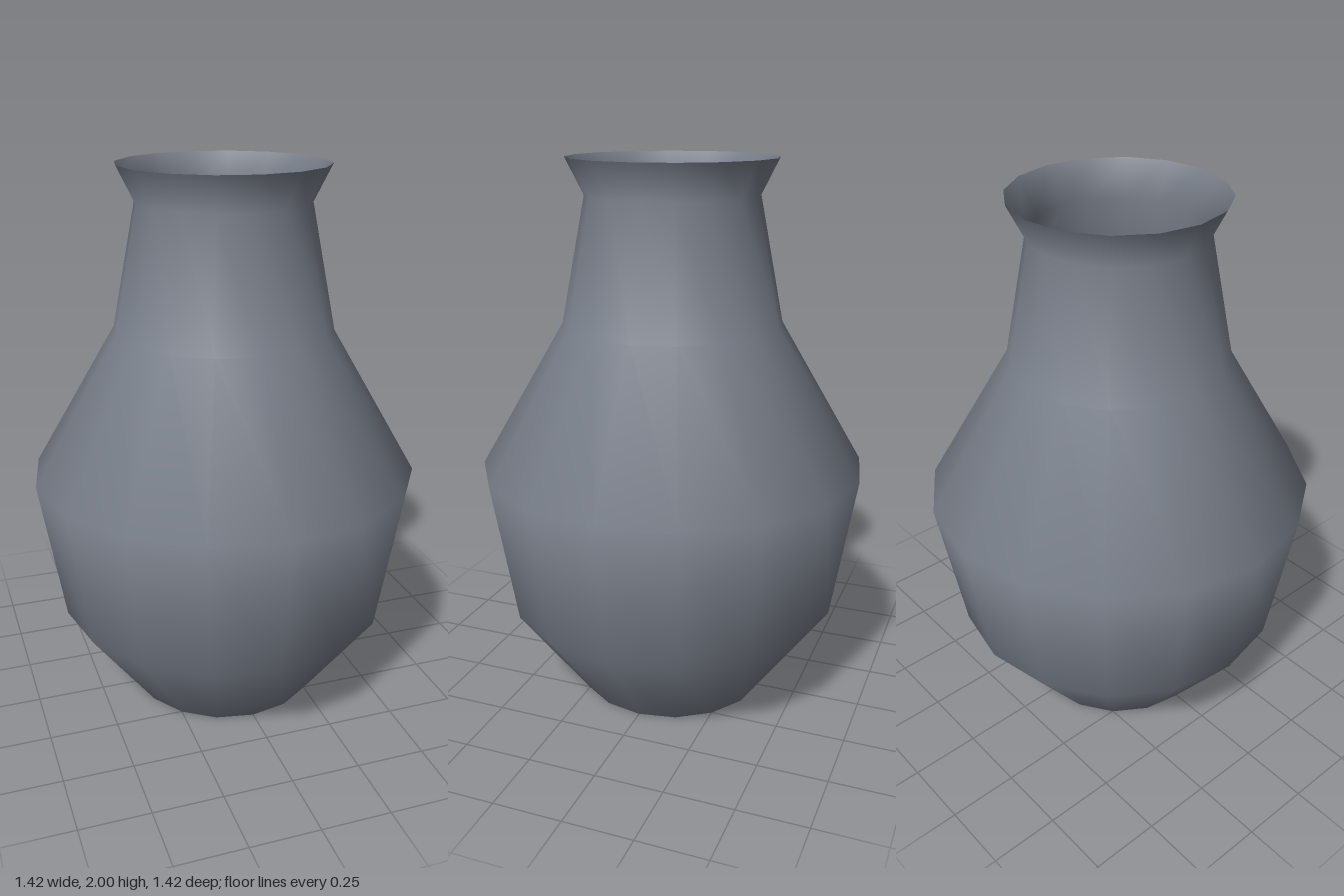
import * as THREE from 'three';

export function createModel() {
  const group = new THREE.Group();
  group.name = 'vase';

  const slateGrey = new THREE.MeshStandardMaterial({ color: 0x7b818c, side: THREE.DoubleSide });
  slateGrey.name = 'slate grey';

  // Thin shell, open at both ends: foot, belly, shoulder, neck, flared lip
  const profile = [
    [0.355, 0],
    [0.62, 0.36],
    [0.708, 0.89],
    [0.398, 1.42],
    [0.31, 1.87],
    [0.375, 2],
  ].map(([r, y]) => new THREE.Vector2(r, y));

  const body = new THREE.Mesh(new THREE.LatheGeometry(profile, 16), slateGrey);
  body.name = 'vaseBody';
  group.add(body);
  return group;
}
